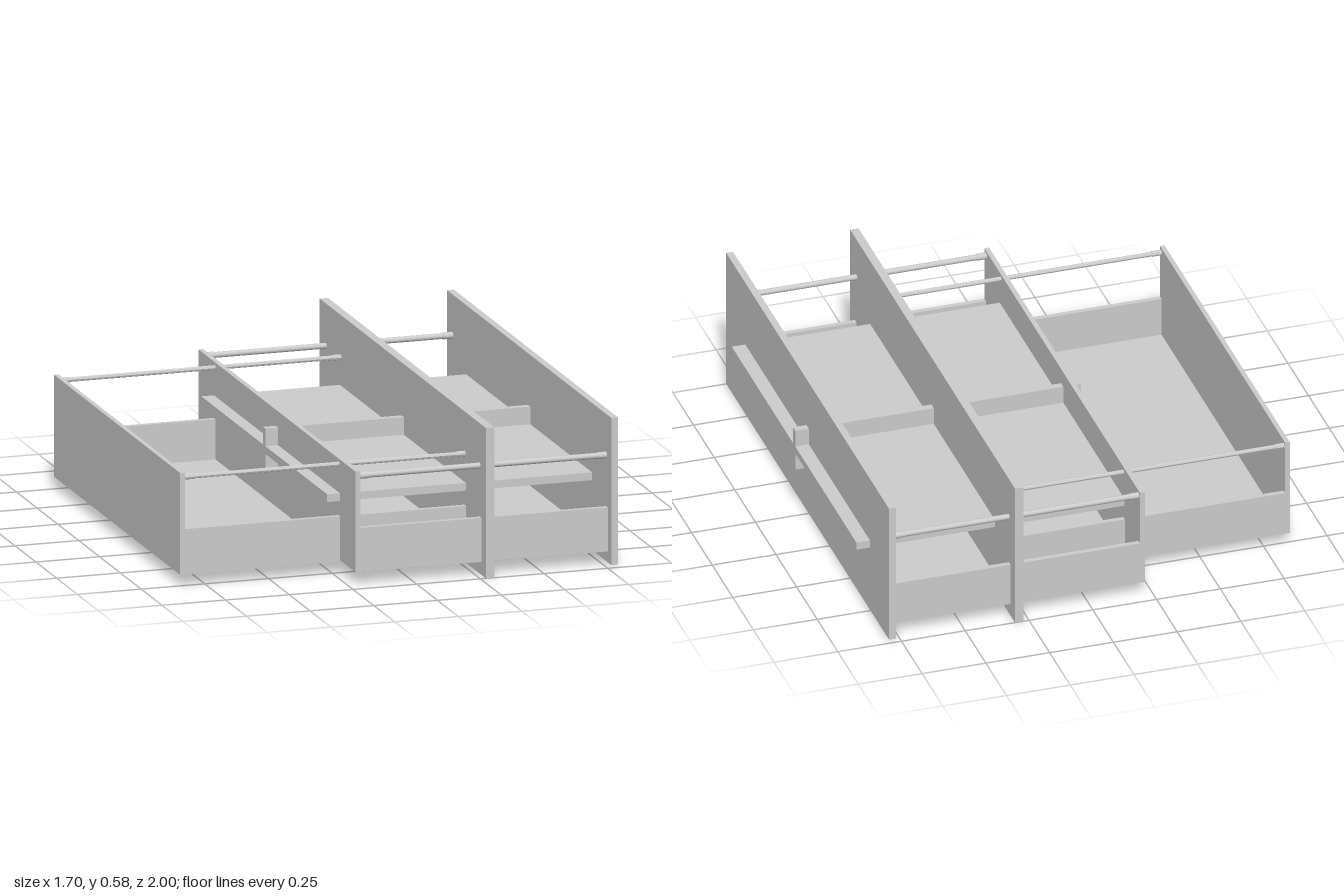
import * as THREE from 'three';

const material = new THREE.MeshStandardMaterial({ color: 0xcccccc });
const flatMaterial = new THREE.MeshStandardMaterial({ color: 0xcccccc, flatShading: true });

// Box given by its limits on each axis
function slab(name, [x0, x1], [y0, y1], [z0, z1]) {
  const mesh = new THREE.Mesh(new THREE.BoxGeometry(x1 - x0, y1 - y0, z1 - z0), material);
  mesh.position.set((x0 + x1) / 2, (y0 + y1) / 2, (z0 + z1) / 2);
  mesh.name = name;
  return mesh;
}

// Round bar lying along x
function bar(name, x0, x1, y, z, radius, sides) {
  const geometry = new THREE.CylinderGeometry(radius, radius, x1 - x0, sides).rotateZ(Math.PI / 2);
  const mesh = new THREE.Mesh(geometry, sides > 8 ? material : flatMaterial);
  mesh.position.set((x0 + x1) / 2, y, z);
  mesh.name = name;
  return mesh;
}

// Open drawer with a tall face panel, a back, two low sides and two rails
function drawer(name, d) {
  const group = new THREE.Group();
  group.name = name;
  const [backOuter, backInner] = d.back;
  const [faceInner] = d.face;
  group.add(
    slab('facePanel', d.face, d.faceY, [-d.faceHalf, d.faceHalf]),
    slab('backPanel', d.back, [d.bottom, 0.438], [-d.half, d.half]),
    slab('floor', [backOuter, faceInner], [d.bottom, d.bottom + 0.02], [-d.half, d.half])
  );
  for (const s of [1, -1]) {
    const edges = [s * d.half, s * (d.half - 0.02)].sort((a, b) => a - b);
    group.add(
      slab('side', [backInner, faceInner], [d.bottom, 0.22], edges),
      bar('rail', backInner, faceInner, d.railY, s * d.railZ, d.radius, d.sides),
      bar('railSleeve', backInner, backInner + 0.037, d.railY, s * d.railZ, d.radius + 0.002, d.sides),
      bar('railSleeve', faceInner - 0.037, faceInner, d.railY, s * d.railZ, d.radius + 0.002, d.sides)
    );
  }
  return group;
}

export function createModel() {
  const model = new THREE.Group();
  model.name = 'drawers';

  model.add(
    drawer('innerDrawer', {
      back: [-0.85, -0.832], face: [0.272, 0.305], faceY: [0, 0.58], faceHalf: 1,
      bottom: 0.045, half: 0.76, railY: 0.418, railZ: 0.745, radius: 0.009, sides: 8,
    }),
    drawer('outerDrawer', {
      back: [-0.222, -0.203], face: [0.768, 0.795], faceY: [0.008, 0.575], faceHalf: 0.988,
      bottom: 0.05, half: 0.945, railY: 0.417, railZ: 0.925, radius: 0.011, sides: 24,
    })
  );

  // Crossed dividers running through both drawers
  model.add(
    slab('shelf', [-0.272, 0.848], [0.278, 0.308], [-0.757, 0.757]),
    slab('divider', [-0.272, 0.848], [0.208, 0.376], [-0.014, 0.014])
  );
  return model;
}
